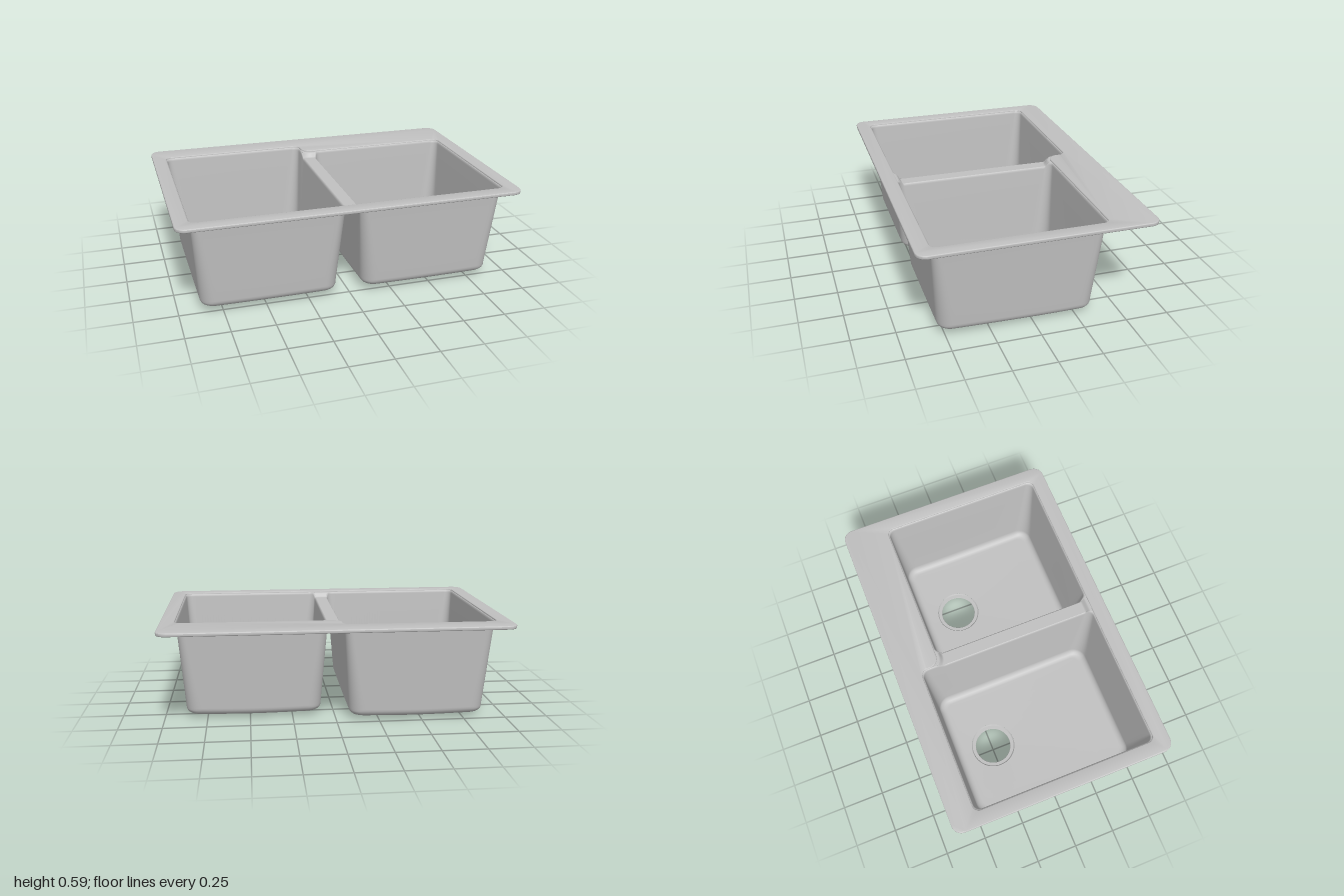
import * as THREE from 'three';
import { toCreasedNormals } from 'three/addons/utils/BufferGeometryUtils.js';

const TOP = 0.588, EDGE = 0.58, SADDLE = 0.55, R = 0.04;
const DRAIN_R = 0.137, HOLE_R = 0.11;
const BACK = -0.52, STEP = -0.4, FRONT = 0.58, SIDE = 0.918, HALF = 0.035;
// centre and radius of the rounded rim corner behind the divider
const CX = 0.025, CZ = -0.46, CR = 0.06;

const steel = new THREE.MeshStandardMaterial({ color: 0xc0c0c0, side: THREE.DoubleSide });
steel.name = 'brushedSteel';

// Height of the bowl edge: level with the rim, dipping to the saddle away from it
function edgeHeight(x, z) {
  const corner = Math.hypot(Math.max(CX - x, 0), Math.max(z - CZ, 0)) - CR;
  const d = Math.min(corner, FRONT - z, z - BACK, SIDE + x, SIDE - x);
  return EDGE - (EDGE - SADDLE) * THREE.MathUtils.smoothstep(d, 0.012, 0.04);
}

// Rounded rectangle loop; every loop has the same number of points
function loop(b, inset, r) {
  const x0 = b.x0 + inset, x1 = b.x1 - inset, z0 = b.z0 + inset, z1 = b.z1 - inset;
  const centres = [[x1 - r, z1 - r], [x0 + r, z1 - r], [x0 + r, z0 + r], [x1 - r, z0 + r]];
  const at = (c, t) => {
    const a = (c + t) * Math.PI / 2;
    return new THREE.Vector2(centres[c][0] + r * Math.cos(a), centres[c][1] + r * Math.sin(a));
  };
  const pts = [];
  for (let c = 0; c < 4; c++) {
    for (let i = 0; i <= 8; i++) pts.push(at(c, i / 8));
    const end = at(c, 1), next = at((c + 1) % 4, 0);
    for (let i = 1; i < 40; i++) pts.push(end.clone().lerp(next, i / 40));
  }
  return pts;
}

// Grid of rows of [x, y, z] points, optionally closed around
function skin(rows, closed) {
  const n = rows[0].length, index = [];
  for (let j = 0; j < rows.length - 1; j++) {
    for (let i = 0; i < (closed ? n : n - 1); i++) {
      const a = j * n + i, b = j * n + (i + 1) % n;
      index.push(a, b, a + n, b, b + n, a + n);
    }
  }
  const g = new THREE.BufferGeometry();
  g.setAttribute('position', new THREE.Float32BufferAttribute(rows.flat(2), 3));
  g.setIndex(index);
  g.computeVertexNormals();
  return g;
}

function add(parent, name, geometry) {
  const mesh = new THREE.Mesh(geometry, steel);
  mesh.name = name;
  parent.add(mesh);
  return mesh;
}

// Tapered bowl with a floor falling to its drain
function makeBowl(b, name) {
  const group = new THREE.Group();
  group.name = name;
  const floorY = (p) => 0.012 + 0.033 * (Math.hypot(p.x - b.dx, p.y - b.dz) - DRAIN_R);
  const tops = loop(b, 0, R).map((p) => edgeHeight(p.x, p.y));
  const wallInset = 0.042, fillet = 0.045;
  const last = loop(b, wallInset + fillet, 0.05);
  const floor = last.map(floorY);
  const rows = [];
  // rolled lip
  for (const [inset, drop] of [[0, 0], [0.003, 0.002], [0.006, 0.006], [0.008, 0.015]]) {
    rows.push(loop(b, inset, R).map((p, i) => [p.x, tops[i] - drop, p.y]));
  }
  // walls
  for (let k = 1; k <= 4; k++) {
    const t = k / 4;
    rows.push(loop(b, 0.008 + (wallInset - 0.008) * t, R + 0.04 * t).map((p, i) =>
      [p.x, THREE.MathUtils.lerp(tops[i] - 0.015, floor[i] + fillet, t), p.y]));
  }
  // rounded foot of the walls
  for (let k = 1; k <= 6; k++) {
    const a = k / 6 * Math.PI / 2;
    rows.push(loop(b, wallInset + fillet * (1 - Math.cos(a)), 0.08 - 0.03 * k / 6).map((p, i) =>
      [p.x, floor[i] + fillet * (1 - Math.sin(a)), p.y]));
  }
  // floor
  for (let k = 1; k <= 5; k++) {
    rows.push(last.map((p) => {
      const a = Math.atan2(p.y - b.dz, p.x - b.dx);
      const q = p.clone().lerp(new THREE.Vector2(
        b.dx + DRAIN_R * Math.cos(a), b.dz + DRAIN_R * Math.sin(a)), k / 5);
      return [q.x, floorY(q), q.y];
    }));
  }
  add(group, 'bowlShell', skin(rows, true));
  // recessed ring around the open drain hole
  const profile = [[HOLE_R, 0], [HOLE_R + 0.002, 0.003], [0.131, 0.004], [DRAIN_R, 0.012]];
  const ring = new THREE.LatheGeometry(profile.map((p) => new THREE.Vector2(...p)), 48);
  add(group, 'drainRing', toCreasedNormals(ring, 0.5)).position.set(b.dx, 0, b.dz);
  return group;
}

// Flat rim with one stepped opening for both bowls
function makeRim() {
  const shape = new THREE.Shape(), W = 1, D = 0.667, r = 0.06;
  shape.moveTo(-W + r, -D).lineTo(W - r, -D);
  shape.absarc(W - r, -D + r, r, -Math.PI / 2, 0);
  shape.absarc(W - r, D - r, r, 0, Math.PI / 2);
  shape.absarc(-W + r, D - r, r, Math.PI / 2, Math.PI);
  shape.absarc(-W + r, -D + r, r, Math.PI, Math.PI * 1.5);
  const hole = new THREE.Path();
  hole.absarc(SIDE - R, FRONT - R, R, 0, Math.PI / 2);
  hole.absarc(-SIDE + R, FRONT - R, R, Math.PI / 2, Math.PI);
  hole.absarc(-SIDE + R, BACK + R, R, Math.PI, Math.PI * 1.5);
  hole.absarc(-HALF - R, BACK + R, R, -Math.PI / 2, 0);
  hole.absarc(CX, CZ, CR, Math.PI, Math.PI / 2, true);
  hole.absarc(SIDE - R, STEP + R, R, -Math.PI / 2, 0);
  shape.holes.push(hole);
  const bevel = 0.005;
  const g = new THREE.ExtrudeGeometry(shape, {
    depth: 0.011, bevelThickness: bevel, bevelSize: bevel, bevelOffset: -bevel,
    bevelSegments: 3, curveSegments: 8,
  });
  g.rotateX(Math.PI / 2).translate(0, TOP - bevel, 0);
  return toCreasedNormals(g, 0.6);
}

// Low saddle between the bowls, flaring into the rim at both ends
function makeDivider() {
  const arc = (d) => R - Math.sqrt(Math.max(0, R * R - (R - Math.min(d, R)) ** 2));
  const section = (z, behind) => {
    const left = -HALF - (z > FRONT - R ? arc(FRONT - z) : 0);
    const right = behind
      ? CX - Math.sqrt(Math.max(0, CR * CR - (z - CZ) ** 2))
      : HALF + arc(Math.min(z - STEP, FRONT - z));
    return Array.from({ length: 13 }, (_, i) => {
      const x = left + (right - left) * i / 12;
      return [x, edgeHeight(x, z), z];
    });
  };
  const rows = [];
  const span = (z0, z1, n, behind) => {
    for (let i = 0; i <= n; i++) rows.push(section(z0 + (z1 - z0) * i / n, behind));
  };
  span(CZ, STEP, 12, true);
  span(STEP, STEP + R, 10, false);
  span(STEP + R + 0.02, FRONT - R - 0.02, 8, false);
  span(FRONT - R, FRONT, 10, false);
  return skin(rows, false);
}

export function createModel() {
  const sink = new THREE.Group();
  sink.name = 'doubleSink';
  add(sink, 'rim', makeRim());
  add(sink, 'divider', makeDivider());
  sink.add(makeBowl({ x0: -SIDE, x1: -HALF, z0: BACK, z1: FRONT, dx: -0.475, dz: -0.24 }, 'largeBowl'));
  sink.add(makeBowl({ x0: HALF, x1: SIDE, z0: STEP, z1: FRONT, dx: 0.473, dz: -0.12 }, 'smallBowl'));
  return sink;
}
